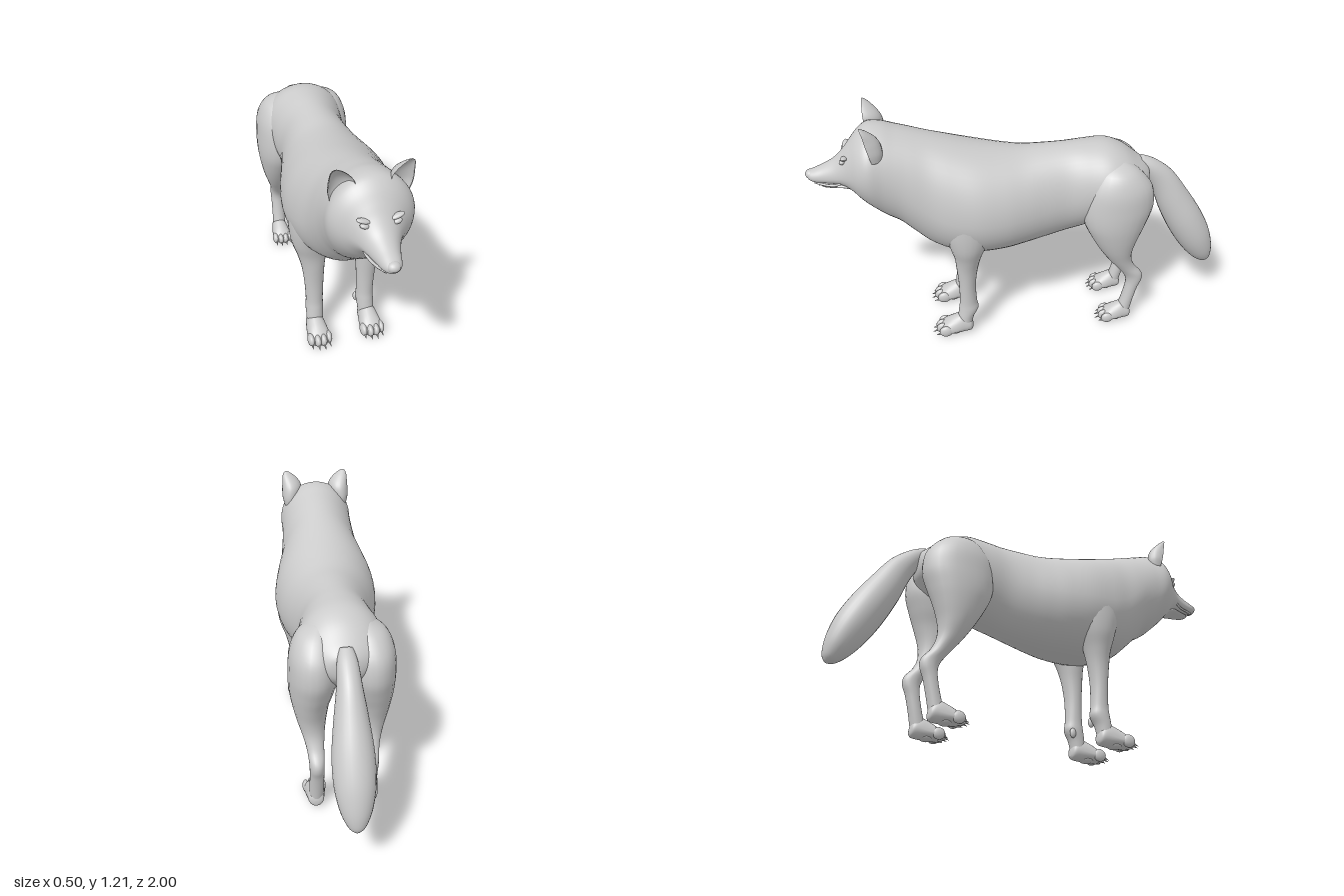
import * as THREE from 'three';

const material = new THREE.MeshStandardMaterial({ color: 0xcccccc, side: THREE.DoubleSide });

// Catmull-Rom interpolation through rows of numbers
function smooth(keys, steps = 5) {
  const rows = [];
  const at = (i) => keys[Math.max(0, Math.min(keys.length - 1, i))];
  for (let i = 0; i < keys.length - 1; i++) {
    for (let s = 0; s < steps; s++) {
      const t = s / steps;
      rows.push(keys[i].map((b, k) => {
        const a = at(i - 1)[k], c = at(i + 1)[k], d = at(i + 2)[k];
        return b + 0.5 * t * (c - a + t * (2 * a - 5 * b + 4 * c - d + t * (3 * (b - c) + d - a)));
      }));
    }
  }
  rows.push(keys[keys.length - 1]);
  return rows;
}

// Skin a list of closed rings, close both ends and turn the faces outwards
function loft(name, rings) {
  const n = rings[0].length, pts = rings.flat(), index = [];
  for (let r = 0; r < rings.length - 1; r++) {
    for (let j = 0; j < n; j++) {
      const a = r * n + j, b = r * n + (j + 1) % n;
      index.push(a, b, a + n, b, b + n, a + n);
    }
  }
  const centre = (ring) => ring.reduce((s, p) => s.add(p), new THREE.Vector3()).divideScalar(n);
  const first = pts.length, last = first + 1, end = (rings.length - 1) * n;
  pts.push(centre(rings[0]), centre(rings[rings.length - 1]));
  for (let j = 0; j < n; j++) {
    const k = (j + 1) % n;
    index.push(first, k, j, last, end + j, end + k);
  }
  let volume = 0;
  const cross = new THREE.Vector3();
  for (let i = 0; i < index.length; i += 3) {
    volume += pts[index[i]].dot(cross.crossVectors(pts[index[i + 1]], pts[index[i + 2]]));
  }
  if (volume < 0) index.reverse();
  const geometry = new THREE.BufferGeometry().setFromPoints(pts);
  geometry.setIndex(index);
  geometry.computeVertexNormals();
  const mesh = new THREE.Mesh(geometry, material);
  mesh.name = name;
  return mesh;
}

function ring(n, f) {
  return Array.from({ length: n }, (_, j) => {
    const a = (j / n) * Math.PI * 2;
    return new THREE.Vector3(...f(Math.cos(a), Math.sin(a)));
  });
}

// Rows: z, top, bottom, half width, height of the widest point (0..1)
const alongZ = (name, keys, n = 40) => loft(name, smooth(keys).map(([z, top, bottom, w, peak]) => {
  const mid = bottom + (top - bottom) * peak;
  return ring(n, (c, s) => [w * c, mid + s * (s > 0 ? top - mid : mid - bottom), z]);
}));

// Rows: y, z front, z back, x inner, x outer
const alongY = (name, keys, side, n = 24) => loft(name, smooth(keys).map(([y, zf, zb, xi, xo]) =>
  ring(n, (c, s) => [side * ((xi + xo) / 2 + c * (xo - xi) / 2), y, (zf + zb) / 2 + s * (zf - zb) / 2])));

function ellipsoid(name, pos, size, rz = 0) {
  const mesh = new THREE.Mesh(new THREE.SphereGeometry(1, 20, 14), material);
  mesh.name = name;
  mesh.position.set(...pos);
  mesh.scale.set(...size);
  mesh.rotation.z = rz;
  return mesh;
}

function cone(name, pos, radius, length, rx) {
  const mesh = new THREE.Mesh(new THREE.ConeGeometry(radius, length, 8), material);
  mesh.name = name;
  mesh.position.set(...pos);
  mesh.rotation.x = rx;
  return mesh;
}

// Paw with its heel at z = 0, pointing to +z
function paw(name) {
  const g = new THREE.Group();
  g.name = name;
  g.add(alongZ('foot', [
    [0, 0.05, 0.025, 0.012, 0.5], [0.012, 0.085, 0.01, 0.036, 0.5], [0.05, 0.115, 0.005, 0.045, 0.4],
    [0.1, 0.098, 0.005, 0.053, 0.35], [0.14, 0.074, 0.006, 0.055, 0.4], [0.17, 0.05, 0.012, 0.04, 0.5],
  ], 24));
  [-1.5, -0.5, 0.5, 1.5].forEach((k) => {
    const x = k * 0.029, z = 0.162 - Math.abs(k) * 0.014;
    g.add(ellipsoid('toe', [x, 0.036, z], [0.0175, 0.031, 0.034]));
    g.add(cone('claw', [x, 0.022, z + 0.037], 0.008, 0.035, Math.PI / 2 + 0.35));
  });
  g.add(ellipsoid('pad', [0, 0.014, 0.09], [0.038, 0.014, 0.035]));
  return g;
}

export function createModel() {
  const wolf = new THREE.Group();
  wolf.name = 'wolf';

  // Trunk, neck, head and muzzle in one skin
  wolf.add(alongZ('body', [
    [-0.615, 0.85, 0.77, 0.04, 0.5], [-0.6, 0.875, 0.735, 0.085, 0.5], [-0.55, 0.915, 0.69, 0.145, 0.5],
    [-0.48, 0.968, 0.64, 0.18, 0.5], [-0.4, 0.998, 0.6, 0.195, 0.5], [-0.3, 1.0, 0.56, 0.182, 0.5],
    [-0.2, 0.995, 0.53, 0.172, 0.48], [-0.1, 0.99, 0.505, 0.188, 0.47], [0, 0.987, 0.485, 0.215, 0.47],
    [0.1, 1.0, 0.47, 0.24, 0.46], [0.22, 1.027, 0.465, 0.252, 0.45], [0.34, 1.062, 0.482, 0.235, 0.43],
    [0.44, 1.093, 0.525, 0.208, 0.44], [0.52, 1.118, 0.595, 0.194, 0.47], [0.58, 1.135, 0.652, 0.186, 0.5],
    [0.64, 1.152, 0.69, 0.183, 0.52], [0.7, 1.152, 0.742, 0.184, 0.52], [0.745, 1.122, 0.785, 0.162, 0.5],
    [0.785, 1.075, 0.828, 0.122, 0.46], [0.82, 1.03, 0.855, 0.092, 0.42], [0.86, 0.99, 0.867, 0.071, 0.4],
    [0.91, 0.962, 0.872, 0.054, 0.4], [0.955, 0.943, 0.877, 0.042, 0.45], [0.982, 0.932, 0.887, 0.028, 0.5],
    [0.99, 0.92, 0.9, 0.008, 0.5],
  ], 48));

  // Lower jaw, nose and mouth line
  wolf.add(alongZ('jaw', [
    [0.78, 0.88, 0.83, 0.06, 0.5], [0.83, 0.878, 0.848, 0.056, 0.5], [0.88, 0.872, 0.847, 0.042, 0.5],
    [0.92, 0.869, 0.85, 0.03, 0.5], [0.935, 0.866, 0.856, 0.012, 0.5],
  ], 24));
  wolf.add(ellipsoid('nose', [0, 0.915, 0.974], [0.028, 0.023, 0.026]));

  // Bushy tail, hanging backwards; rows: y, z, half width, half depth, tilt
  wolf.add(loft('tail', smooth([
    [0.885, -0.565, 0.03, 0.03, 0.7], [0.845, -0.62, 0.045, 0.045, 0.75], [0.765, -0.69, 0.056, 0.066, 0.75],
    [0.65, -0.755, 0.075, 0.083, 0.65], [0.53, -0.825, 0.09, 0.092, 0.6], [0.42, -0.888, 0.088, 0.087, 0.55],
    [0.33, -0.935, 0.068, 0.066, 0.5], [0.27, -0.965, 0.038, 0.037, 0.45], [0.249, -0.977, 0.012, 0.012, 0.45],
  ]).map(([y, z, w, d, tilt]) =>
    ring(28, (c, s) => [w * c, y + s * d * Math.sin(tilt), z + s * d * Math.cos(tilt)]).map((p) => {
      p.y = y - (z - p.z) * -Math.tan(tilt); // rings square to the tail's run
      return p;
    }))));

  for (const side of [1, -1]) {
    const label = side > 0 ? 'left' : 'right';

    // Front leg with shoulder
    wolf.add(alongY(label + 'FrontLeg', [
      [0.84, 0.31, 0.2, 0.12, 0.2], [0.76, 0.37, 0.15, 0.08, 0.238], [0.66, 0.385, 0.15, 0.06, 0.243],
      [0.56, 0.365, 0.185, 0.06, 0.233], [0.48, 0.345, 0.215, 0.068, 0.208], [0.4, 0.337, 0.234, 0.078, 0.188],
      [0.3, 0.33, 0.246, 0.084, 0.176], [0.2, 0.33, 0.244, 0.087, 0.17], [0.15, 0.336, 0.238, 0.086, 0.172],
      [0.1, 0.342, 0.262, 0.09, 0.172], [0.04, 0.345, 0.275, 0.095, 0.17],
    ], side));
    wolf.add(ellipsoid(label + 'Dewclaw', [side * 0.09, 0.13, 0.262], [0.012, 0.025, 0.016]));
    const front = paw(label + 'FrontPaw');
    front.position.set(side * 0.134, 0, 0.268);
    wolf.add(front);

    // Hind leg: thigh, hock and shank
    wolf.add(alongY(label + 'HindLeg', [
      [0.94, -0.4, -0.47, 0.08, 0.12], [0.9, -0.345, -0.54, 0.04, 0.19], [0.82, -0.295, -0.605, 0.02, 0.228],
      [0.72, -0.275, -0.618, 0.015, 0.238], [0.63, -0.287, -0.592, 0.03, 0.237], [0.55, -0.325, -0.562, 0.055, 0.226],
      [0.47, -0.372, -0.538, 0.07, 0.208], [0.4, -0.42, -0.535, 0.08, 0.186], [0.34, -0.468, -0.558, 0.086, 0.168],
      [0.29, -0.505, -0.598, 0.089, 0.16], [0.25, -0.52, -0.602, 0.09, 0.158], [0.2, -0.517, -0.584, 0.09, 0.157],
      [0.12, -0.5, -0.565, 0.09, 0.158], [0.04, -0.475, -0.55, 0.092, 0.16],
    ], side));
    const hind = paw(label + 'HindPaw');
    hind.position.set(side * 0.127, 0, -0.555);
    hind.scale.set(0.92, 0.92, 0.9);
    wolf.add(hind);

    // Cupped ear, open to the front; rows: y, x, z, half width, depth
    wolf.add(loft(label + 'Ear', smooth([
      [1.04, 0.13, 0.685, 0.035, 0.05], [1.08, 0.13, 0.695, 0.044, 0.066], [1.12, 0.124, 0.705, 0.051, 0.07],
      [1.15, 0.126, 0.71, 0.047, 0.06], [1.18, 0.137, 0.714, 0.034, 0.036], [1.2, 0.147, 0.718, 0.018, 0.016],
      [1.21, 0.15, 0.72, 0.004, 0.004],
    ]).map(([y, x, z, w, d]) => ring(24, (c, s) => {
      const depth = s < 0 ? d * s : -0.6 * d * s;
      return [side * (x + w * c), y, z + depth - 0.18 * w * c];
    }))));

    // Eye with brow, lip and fang
    wolf.add(ellipsoid(label + 'Eye', [side * 0.066, 1.004, 0.818], [0.02, 0.011, 0.014], side * 0.25));
    wolf.add(ellipsoid(label + 'Brow', [side * 0.066, 1.021, 0.808], [0.034, 0.01, 0.016], side * 0.3));
    const lip = new THREE.CatmullRomCurve3([
      [0.07, 0.893, 0.835], [0.058, 0.878, 0.87], [0.04, 0.877, 0.92], [0.02, 0.88, 0.958],
    ].map(([x, y, z]) => new THREE.Vector3(side * x, y, z)));
    const lipMesh = new THREE.Mesh(new THREE.TubeGeometry(lip, 16, 0.006, 8), material);
    lipMesh.name = label + 'Lip';
    wolf.add(lipMesh);
    wolf.add(cone(label + 'Fang', [side * 0.024, 0.87, 0.94], 0.006, 0.022, Math.PI));
  }
  return wolf;
}
